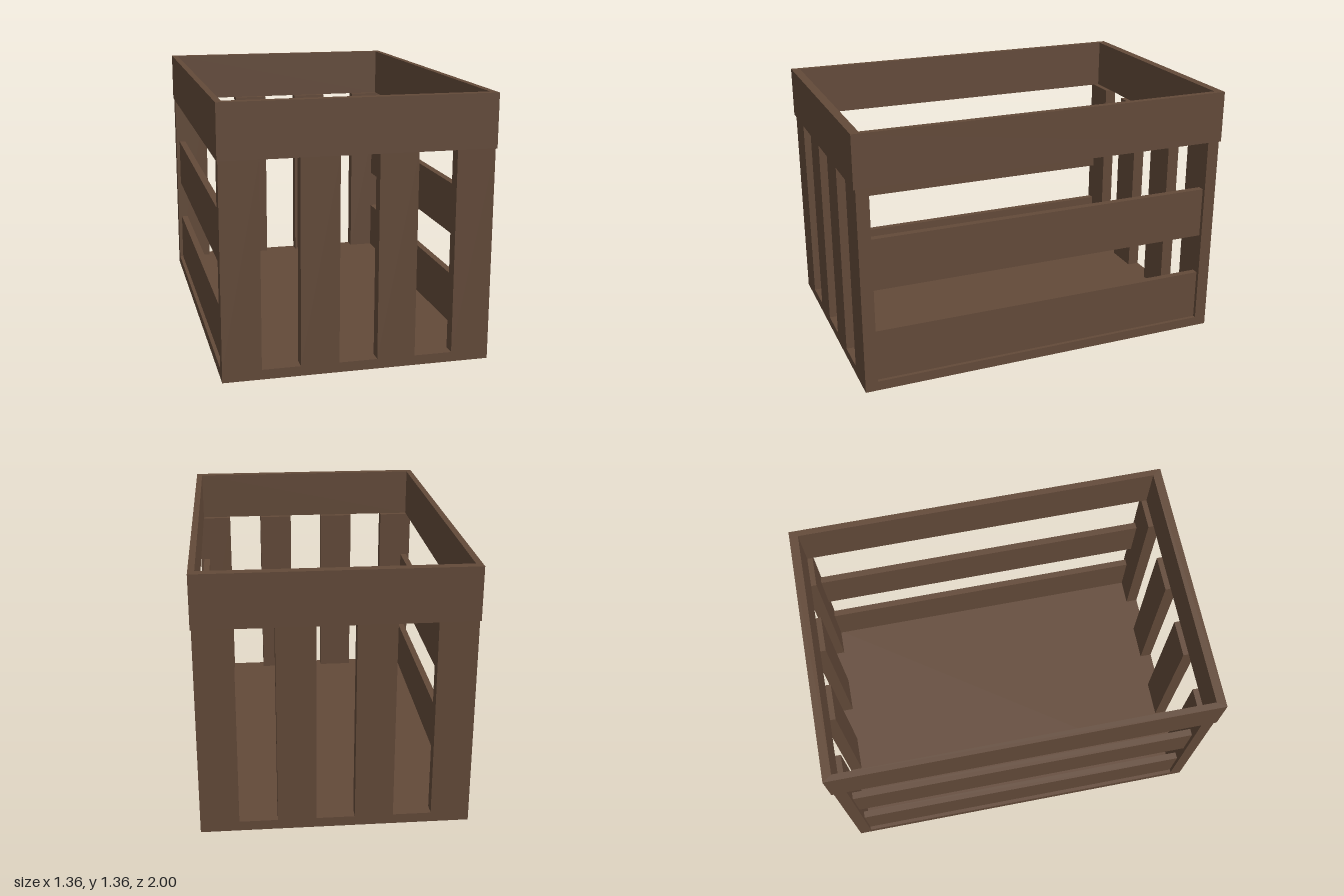
import * as THREE from 'three';

export function createModel() {
  const group = new THREE.Group();
  group.name = 'slattedCrate';

  const wood = new THREE.MeshStandardMaterial({ color: 0x634a39 });
  wood.name = 'brownWood';

  // Box given by its minimum and maximum corners
  function board(name, [x0, y0, z0], [x1, y1, z1]) {
    const mesh = new THREE.Mesh(new THREE.BoxGeometry(x1 - x0, y1 - y0, z1 - z0), wood);
    mesh.position.set((x0 + x1) / 2, (y0 + y1) / 2, (z0 + z1) / 2);
    mesh.name = name;
    group.add(mesh);
  }

  const floorTop = 0.05, rimBottom = 1.085, rimTop = 1.355;
  const postInner = 0.925, postOuter = 0.99;

  // Floor
  board('floor', [-0.675, 0, -postOuter], [0.675, floorTop, postOuter]);

  // Upright slats on the front and back
  for (const [end, z0, z1] of [['front', postInner, postOuter], ['back', -postOuter, -postInner]]) {
    for (let i = 0; i < 4; i++) {
      const x = -0.675 + i * 0.3857;
      board(end + 'Upright' + (i + 1), [x, floorTop, z0], [x + 0.193, rimBottom, z1]);
    }
  }

  // Horizontal slats on both sides, set in slightly between the corner uprights
  for (const [side, x0, x1] of [['left', 0.62, 0.656], ['right', -0.656, -0.62]]) {
    board(side + 'LowerSlat', [x0, floorTop, -postInner], [x1, 0.322, postInner]);
    board(side + 'MiddleSlat', [x0, 0.545, -postInner], [x1, 0.815, postInner]);
  }

  // Rim: a rectangular frame around the top
  const rectangle = (path, w, d) =>
    path.moveTo(-w, -d).lineTo(w, -d).lineTo(w, d).lineTo(-w, d).closePath();
  const outline = rectangle(new THREE.Shape(), 0.68, 1);
  outline.holes.push(rectangle(new THREE.Path(), 0.648, 0.954));
  const rimGeometry = new THREE.ExtrudeGeometry(outline, {
    depth: rimTop - rimBottom, bevelEnabled: false,
  });
  rimGeometry.rotateX(-Math.PI / 2);
  const rim = new THREE.Mesh(rimGeometry, wood);
  rim.position.y = rimBottom;
  rim.name = 'topRim';
  group.add(rim);

  return group;
}
